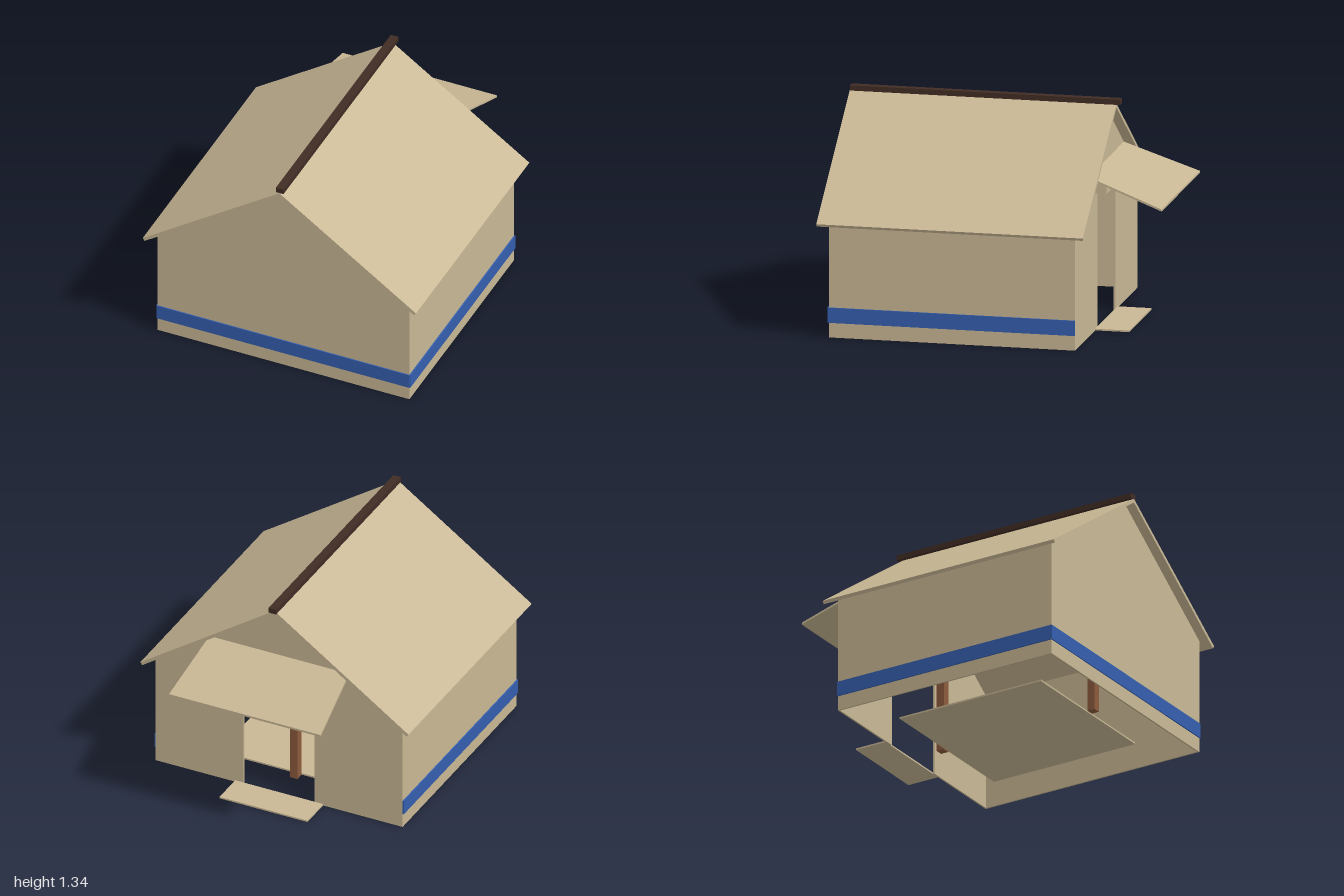
import * as THREE from 'three';

const W = 0.815;          // half width of the walls
const FRONT = 0.94;       // outer face of the front wall
const BACK = -0.55;       // outer face of the back wall
const EAVE = 0.722;       // wall height at the sides
const PEAK = 1.286;       // wall height under the ridge
const T = 0.01;           // cloth thickness

export function createModel() {
  const group = new THREE.Group();
  const mat = (name, color) => {
    const m = new THREE.MeshStandardMaterial({ color });
    m.name = name;
    return m;
  };
  const canvas = mat('tan canvas', 0xc8b794);
  const blue = mat('blue stripe', 0x355eaf);
  const wood = mat('brown wood', 0x8b5a3c);
  const darkWood = mat('dark wood', 0x402c24);

  const add = (name, geometry, material) => {
    const mesh = new THREE.Mesh(geometry, material);
    mesh.name = name;
    group.add(mesh);
    return mesh;
  };
  // Box given by its lower and upper limits on each axis
  const box = (name, material, [x0, x1], [y0, y1], [z0, z1]) =>
    add(name, new THREE.BoxGeometry(x1 - x0, y1 - y0, z1 - z0), material)
      .position.set((x0 + x1) / 2, (y0 + y1) / 2, (z0 + z1) / 2);
  // Outline in x and y, extruded along z
  const extrude = (name, points, z0, z1) => {
    const shape = new THREE.Shape(points.map(([x, y]) => new THREE.Vector2(x, y)));
    const g = new THREE.ExtrudeGeometry(shape, { depth: z1 - z0, bevelEnabled: false });
    add(name, g.translate(0, 0, z0), canvas);
  };

  // Gable walls, the back one with a doorway
  const gable = [[W, 0], [W, EAVE], [0, PEAK], [-W, EAVE], [-W, 0]];
  const door = [[-0.235, 0], [-0.235, 0.81], [0.235, 0.81], [0.235, 0]];
  extrude('frontWall', gable, FRONT - T, FRONT);
  extrude('backWall', [...gable, ...door], BACK, BACK + T);

  // Side walls, stripes and roof slopes, mirrored
  for (const [s, side] of [[1, 'left'], [-1, 'right']]) {
    const span = (a, b) => (s > 0 ? [a, b] : [-b, -a]);
    box(side + 'Wall', canvas, span(W - T, W), [0, EAVE], [BACK + T, FRONT - T]);
    box(side + 'Stripe', blue, span(W, W + 0.008), [0.09, 0.182], [BACK, FRONT]);
    const slope = [[0, PEAK], [0.872, 0.682], [0.885, 0.699], [0, 1.31]];
    extrude(side + 'Roof', slope.map(([x, y]) => [s * x, y]), -0.612, 1);
  }
  box('frontStripe', blue, [-W - 0.005, W + 0.005], [0.09, 0.182], [FRONT, FRONT + 0.007]);

  // Ridge beam
  box('ridgeBeam', darkWood, [-0.025, 0.025], [1.308, 1.34], [-0.64, 0.995]);

  // Inner floor, doorstep and door roll
  box('floor', canvas, [-0.52, 0.52], [0, 0.01], [-0.305, 0.68]);
  box('doorstep', canvas, [-0.29, 0.29], [0, 0.01], [-0.755, BACK]);
  box('doorRoll', canvas, [-0.295, 0.295], [0.83, 0.89], [-0.62, BACK]);

  // Centre posts under the ridge
  for (const z of [-0.335, 0.715]) {
    box('post', wood, [-0.025, 0.025], [0, 1.26], [z - 0.025, z + 0.025]);
  }

  // Awning over the doorway: a thin box widened and lowered toward its outer edge
  const awning = new THREE.BoxGeometry(1, 0.013, 1);
  const p = awning.attributes.position;
  for (let i = 0; i < p.count; i++) {
    const out = 0.5 - p.getZ(i); // 0 at the wall, 1 at the outer edge
    p.setXYZ(i,
      p.getX(i) * 2 * (0.46 + 0.04 * out),
      p.getY(i) + 0.962 - 0.162 * out,
      BACK - 0.45 * out);
  }
  awning.computeVertexNormals();
  add('awning', awning, canvas);

  return group;
}
